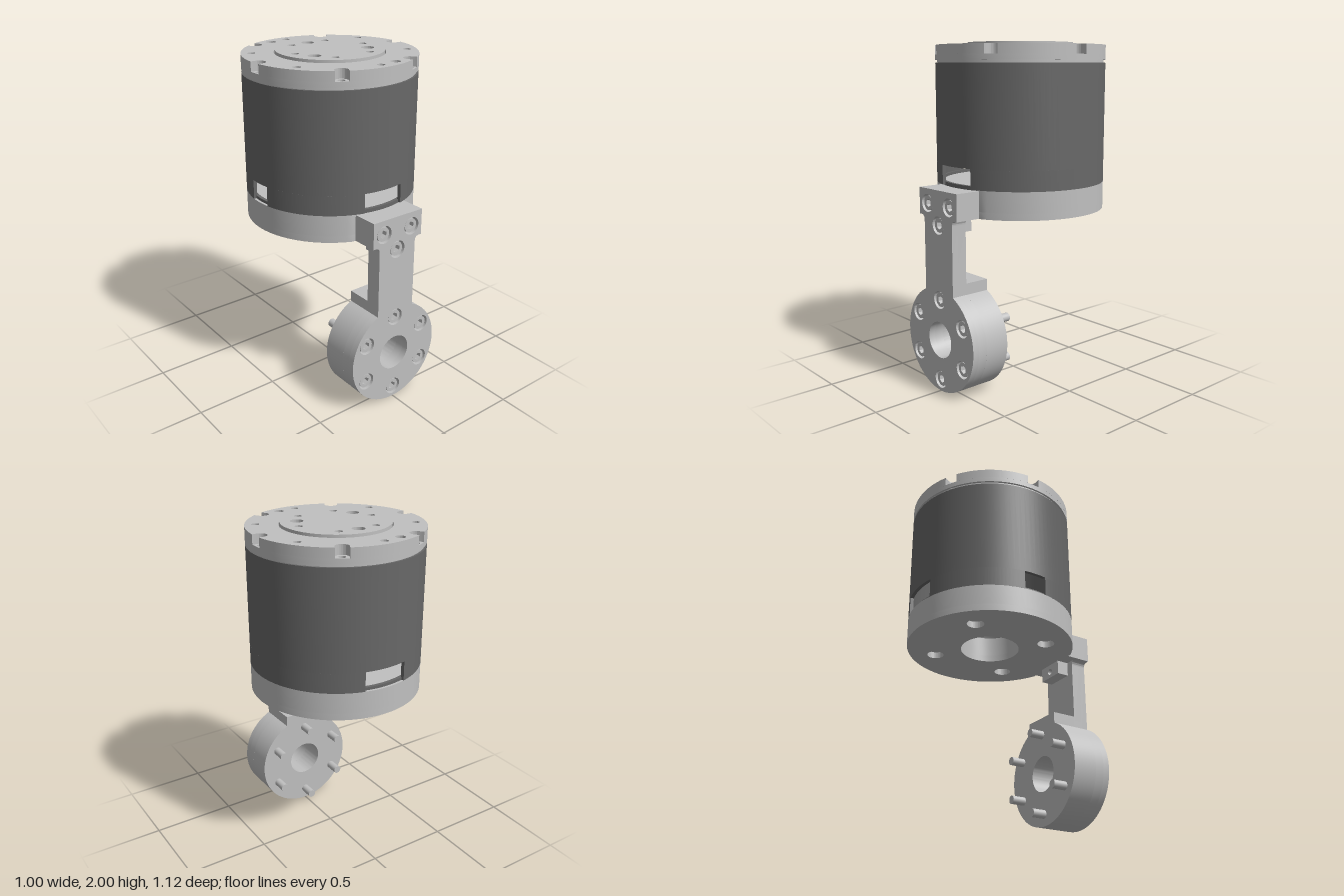
import * as THREE from 'three';
import { toCreasedNormals } from 'three/addons/utils/BufferGeometryUtils.js';

const rad = THREE.MathUtils.degToRad;

export function createModel() {
  const model = new THREE.Group();
  model.name = 'motorWithBracket';
  const metal = new THREE.MeshStandardMaterial({ color: 0xc0c0c0 });
  metal.name = 'light metal';
  const dark = new THREE.MeshStandardMaterial({ color: 0x686868 });
  dark.name = 'dark housing';

  const add = (parent, name, geo, mat = metal) => {
    const mesh = new THREE.Mesh(geo, mat);
    mesh.name = name;
    parent.add(mesh);
    return mesh;
  };
  const extrude = (shape, depth, segs = 40) => toCreasedNormals(
    new THREE.ExtrudeGeometry(shape, { depth, bevelEnabled: false, curveSegments: segs }), 0.5);
  // horizontal slab between two heights; shape y points to the back
  const slab = (shape, y0, y1, segs) => extrude(shape, y1 - y0, segs).rotateX(-Math.PI / 2).translate(0, y0, 0);
  // upright plate between two depths
  const plate = (shape, z0, z1, segs) => extrude(shape, z1 - z0, segs).translate(0, 0, z0);
  const disc = (r, x = 0, y = 0) => new THREE.Shape().absarc(x, y, r, 0, Math.PI * 2);
  const drill = (shape, r, points) => {
    for (const [x, y] of points) shape.holes.push(new THREE.Path().absarc(x, y, r, 0, Math.PI * 2));
    return shape;
  };
  const ring = (n, r, start = 0, cx = 0, cy = 0) => Array.from({ length: n }, (_, i) => {
    const a = rad(start + (360 * i) / n);
    return [cx + r * Math.cos(a), cy + r * Math.sin(a)];
  });

  // ---- motor ----
  const motor = new THREE.Group();
  motor.name = 'motor';
  motor.position.z = -0.055;
  model.add(motor);

  // base with a flat at the front, a central bore and four screw pockets
  const baseShape = () => {
    const a = Math.asin(0.46 / 0.5);
    return drill(new THREE.Shape().absarc(0, 0, 0.5, -a, Math.PI + a), 0.175, [[0, 0]]);
  };
  add(motor, 'baseBottom', slab(drill(baseShape(), 0.05, ring(4, 0.344, 45)), 1.03, 1.07));
  add(motor, 'baseTop', slab(baseShape(), 1.07, 1.19));

  // housing: full sleeve above, sectors between the windows below
  add(motor, 'housingSleeve', slab(drill(disc(0.5), 0.48, [[0, 0]]), 1.305, 1.883, 48), dark);
  for (const [from, to] of [[-75, 75], [105, 172], [188, 255]]) {
    const sector = new THREE.Shape()
      .absarc(0, 0, 0.5, rad(from), rad(to))
      .absarc(0, 0, 0.48, rad(to), rad(from), true);
    add(motor, 'housingSector', slab(sector, 1.19, 1.305), dark);
  }
  add(motor, 'windowSill', slab(drill(disc(0.485), 0.465, [[0, 0]]), 1.185, 1.207), dark);

  // top flange: neck, lower plate with screw holes, upper plate with edge slots
  add(motor, 'flangeNeck', slab(disc(0.488), 1.87, 1.9));
  add(motor, 'flangeLower', slab(drill(disc(0.5), 0.02, ring(6, 0.47)), 1.9, 1.93));
  const flange = new THREE.Shape();
  const w = 0.038, d = Math.asin(w / 0.5);
  for (let k = 0; k < 6; k++) {
    const a = rad(60 * k);
    flange.absarc(0.47 * Math.cos(a), 0.47 * Math.sin(a), w, a - Math.PI / 2, a + Math.PI / 2, true);
    flange.absarc(0, 0, 0.5, a + d, a + rad(60) - d);
  }
  flange.closePath();
  drill(flange, 0.316, [[0, 0]]);
  drill(flange, 0.022, ring(6, 0.44, 30));
  drill(flange, 0.028, [[-0.115, 0.425], [0.115, -0.425]]);
  add(motor, 'flangeUpper', slab(flange, 1.93, 1.985, 24));

  // raised output disc with its bolt pattern
  const output = drill(disc(0.31), 0.022, ring(6, 0.238));
  drill(output, 0.037, ring(3, 0.215, 90));
  add(motor, 'outputDisc', slab(output, 1.93, 2.0));

  // ---- bracket ----
  const bracket = new THREE.Group();
  bracket.name = 'bracket';
  model.add(bracket);
  const hubY = 0.31, hubR = 0.31, armX = 0.13;
  const hubBolts = ring(6, 0.24, 90, 0, hubY);
  const blockBolts = [[-0.1, 1.1], [0.1, 1.1], [0, 0.985]];
  const start = Math.acos(armX / hubR);

  // hub, arm and mounting block in one outline
  const armShape = () => {
    const s = new THREE.Shape().absarc(0, hubY, hubR, Math.PI - start, Math.PI * 2 + start);
    s.lineTo(armX, 1.0);
    s.quadraticCurveTo(armX, 1.03, armX + 0.03, 1.03);
    s.lineTo(0.175, 1.03);
    s.lineTo(0.175, 1.185);
    s.lineTo(-0.175, 1.185);
    s.lineTo(-0.175, 1.03);
    s.lineTo(-armX - 0.03, 1.03);
    s.quadraticCurveTo(-armX, 1.03, -armX, 1.0);
    s.closePath();
    return drill(s, 0.107, [[0, hubY]]);
  };
  add(bracket, 'armFront', plate(drill(armShape(), 0.052, [...hubBolts, ...blockBolts]), 0.52, 0.56, 32));
  add(bracket, 'armBack', plate(armShape(), 0.465, 0.52, 32));

  // rear of the hub with the ledge behind the arm
  const hub = new THREE.Shape().absarc(0, hubY, hubR, Math.PI - start, Math.PI * 2 + start);
  hub.lineTo(armX, 0.658);
  hub.lineTo(-armX, 0.658);
  hub.closePath();
  add(bracket, 'hubRear', plate(drill(hub, 0.107, [[0, hubY]]), 0.315, 0.465));

  // block against the base flat, and the lug below it
  add(bracket, 'mountBlock', new THREE.BoxGeometry(0.35, 0.155, 0.06)).position.set(0, 1.1075, 0.435);
  const lug = new THREE.Shape([[-0.085, 0.945], [0.085, 0.945], [0.085, 1.03], [-0.085, 1.03]]
    .map(([x, y]) => new THREE.Vector2(x, y)));
  add(bracket, 'lug', plate(drill(lug, 0.02, [[0, 0.985]]), 0.39, 0.465, 12));

  // socket-head screws, with pins out of the back of the hub
  const head = disc(0.042);
  head.holes.push(new THREE.Path(ring(6, 0.024, 30).map(([x, y]) => new THREE.Vector2(x, y))));
  const headGeo = plate(head, 0.52, 0.552, 14);
  const pinGeo = new THREE.CylinderGeometry(0.025, 0.025, 0.095, 24).rotateX(Math.PI / 2);
  for (const [x, y] of [...hubBolts, ...blockBolts]) add(bracket, 'screwHead', headGeo).position.set(x, y, 0);
  for (const [x, y] of hubBolts) add(bracket, 'screwPin', pinGeo).position.set(x, y, 0.2755);

  return model;
}
